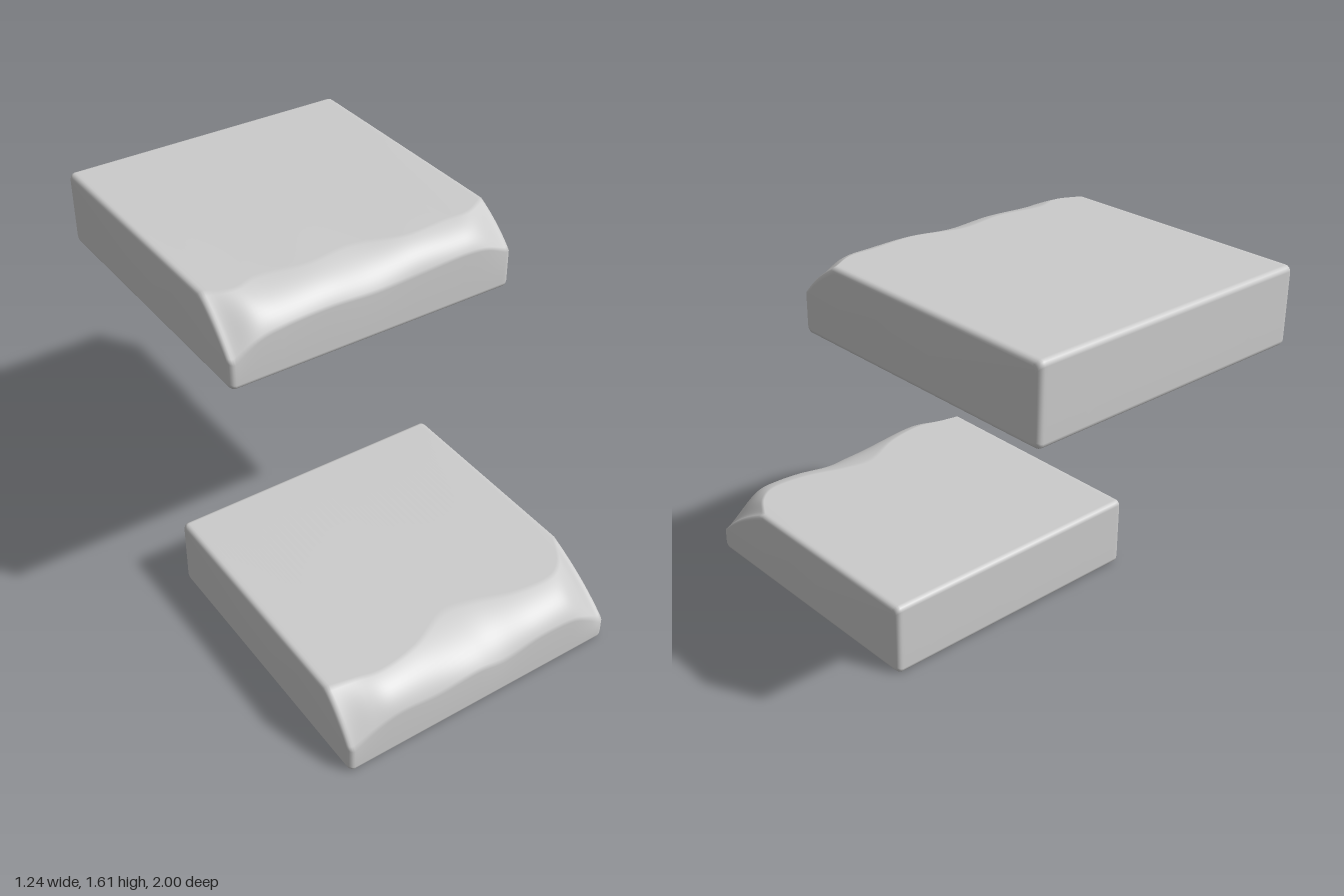
import * as THREE from 'three';

const R = 0.022;      // small edge rounding
const HEIGHT = 0.31;
const DEPTH = 1.25;

// Side profile [z, y]: rounded box whose top front edge is worn back to z = start and down to y = h
function profile(start, h, bulge) {
  const pts = [];
  const back = -DEPTH / 2, front = DEPTH / 2;
  const corner = (z, y, from) => {
    for (let i = 0; i <= 4; i++) {
      const a = from + (i / 4) * Math.PI / 2;
      pts.push([z + R * Math.cos(a), y + R * Math.sin(a)]);
    }
  };
  corner(back + R, R, Math.PI);
  corner(front - R, R, Math.PI * 1.5);
  const cz = THREE.MathUtils.lerp((front + start) / 2, front, bulge);
  const cy = THREE.MathUtils.lerp((HEIGHT + h) / 2, HEIGHT, bulge);
  for (let i = 0; i <= 12; i++) {
    const t = i / 12, a = (1 - t) ** 2, b = 2 * t * (1 - t), c = t * t;
    pts.push([a * front + b * cz + c * start, a * h + b * cy + c * HEIGHT]);
  }
  corner(back + R, HEIGHT - R, Math.PI / 2);
  return pts;
}

// Loft of profiles along x; keys are [x, wear start z, wear bottom y]
function slabGeometry(keys) {
  const curve = new THREE.CatmullRomCurve3(keys.map(k => new THREE.Vector3(...k)));
  const stations = curve.getPoints(60).map(p => ({ x: p.x, p, inset: 0 }));
  const first = stations[0], last = stations[stations.length - 1];

  // Rounded ends: the profile shrinks by the edge radius
  for (let i = 1; i <= 4; i++) {
    const a = (i / 4) * Math.PI / 2;
    const inset = R * (1 - Math.cos(a)), out = R * Math.sin(a);
    stations.unshift({ x: first.x - out, p: first.p, inset });
    stations.push({ x: last.x + out, p: last.p, inset });
  }

  const pos = [], index = [];
  let n = 0;
  for (const { x, p, inset } of stations) {
    const bulge = THREE.MathUtils.lerp(0.55, 0.2, THREE.MathUtils.smoothstep(Math.abs(p.x), 0.42, 0.6));
    const loop = profile(p.y, p.z, bulge);
    n = loop.length;
    const sz = 1 - inset / (DEPTH / 2), sy = 1 - inset / (HEIGHT / 2);
    for (const [z, y] of loop) pos.push(x, HEIGHT / 2 + (y - HEIGHT / 2) * sy, z * sz);
  }
  const rows = stations.length;
  for (let i = 0; i < rows - 1; i++) {
    for (let j = 0; j < n; j++) {
      const k = (j + 1) % n;
      const a = i * n + j, b = a + n, c = (i + 1) * n + k, d = i * n + k;
      index.push(a, b, c, a, c, d);
    }
  }
  // End caps
  const c0 = rows * n, c1 = c0 + 1, base = (rows - 1) * n;
  pos.push(stations[0].x, HEIGHT * 0.4, 0, stations[rows - 1].x, HEIGHT * 0.4, 0);
  for (let j = 0; j < n; j++) {
    const k = (j + 1) % n;
    index.push(c0, j, k, c1, base + k, base + j);
  }
  const geo = new THREE.BufferGeometry();
  geo.setAttribute('position', new THREE.Float32BufferAttribute(pos, 3));
  geo.setIndex(index);
  geo.computeVertexNormals();
  return geo;
}

export function createModel() {
  const group = new THREE.Group();
  const material = new THREE.MeshStandardMaterial({ color: 0xcccccc });

  const slabs = [
    {
      name: 'lowerStep', y: 0, z: 0.375,
      keys: [[-0.6, 0.45, 0.11], [-0.5, 0.47, 0.16], [-0.4, 0.49, 0.185], [-0.22, 0.46, 0.17],
        [-0.02, 0.37, 0.18], [0.1, 0.39, 0.16], [0.28, 0.45, 0.19], [0.45, 0.46, 0.18],
        [0.53, 0.41, 0.14], [0.6, 0.3, 0.09]],
    },
    {
      name: 'upperStep', y: 1.3, z: -0.375,
      keys: [[-0.6, 0.42, 0.11], [-0.5, 0.46, 0.17], [-0.4, 0.43, 0.19], [-0.2, 0.46, 0.2],
        [0, 0.44, 0.19], [0.2, 0.5, 0.2], [0.4, 0.49, 0.21], [0.5, 0.49, 0.2], [0.6, 0.44, 0.16]],
    },
  ];
  for (const s of slabs) {
    const mesh = new THREE.Mesh(slabGeometry(s.keys), material);
    mesh.name = s.name;
    mesh.position.set(0, s.y, s.z);
    group.add(mesh);
  }
  return group;
}
